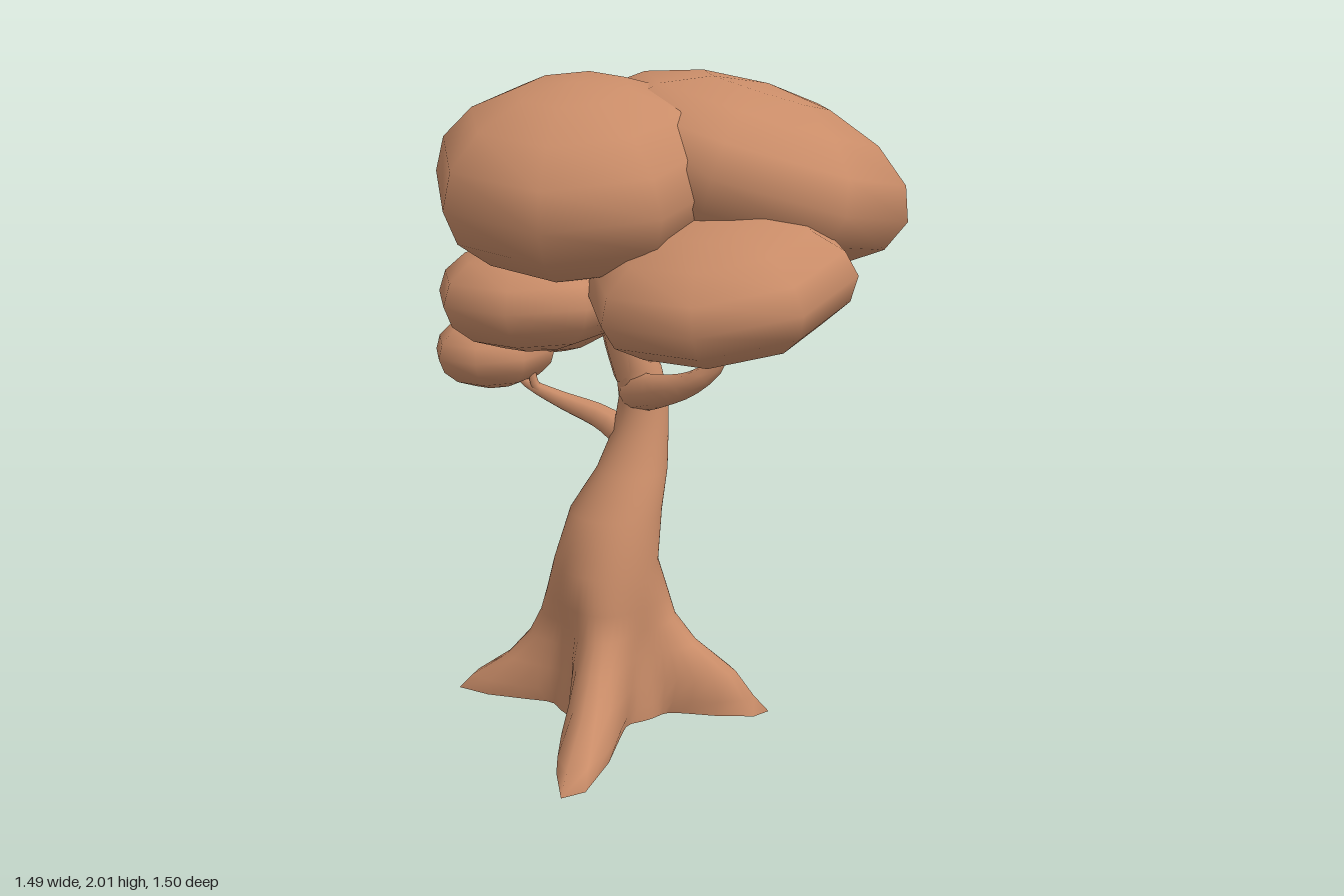
import * as THREE from 'three';

const clay = new THREE.MeshStandardMaterial({ color: 0xc98c68, side: THREE.DoubleSide });
clay.name = 'clay brown';

// Angles of the four roots around the trunk: right, front, left, back
const ROOT_ANGLES = [0.02, 1.545, 3.08, -2.1];

// Trunk levels: height, centre x, centre z, core radius, reach of each root, root sharpness
const LEVELS = [
  [0.00, -0.12, 0.08, 0.20, [0.51, 0.67, 0.53, 0.61], 46],
  [0.05, -0.12, 0.08, 0.20, [0.46, 0.60, 0.48, 0.48], 30],
  [0.13, -0.12, 0.08, 0.19, [0.40, 0.42, 0.36, 0.46], 19],
  [0.22, -0.12, 0.08, 0.18, [0.27, 0.32, 0.28, 0.42], 13],
  [0.30, -0.12, 0.08, 0.175, [0.20, 0.25, 0.24, 0.32], 9],
  [0.38, -0.125, 0.09, 0.175, [0.18, 0.22, 0.21, 0.23], 5],
  [0.50, -0.13, 0.125, 0.16, [0.16, 0.175, 0.17, 0.17], 4],
  [0.66, -0.11, 0.09, 0.145, null, 1],
  [0.78, -0.07, 0.035, 0.112, null, 1],
  [0.90, -0.05, -0.005, 0.087, null, 1],
  [1.00, -0.045, -0.02, 0.078, null, 1],
  [1.10, -0.06, -0.015, 0.072, null, 1],
  [1.19, -0.09, 0.01, 0.055, null, 1],
];

// Trunk skin: rings that flare out into roots near the ground, open underneath
function trunkGeometry(sides = 64) {
  const positions = [];
  const index = [];
  LEVELS.forEach(([y, cx, cz, core, reach, sharp], i) => {
    for (let j = 0; j < sides; j++) {
      const a = (j / sides) * Math.PI * 2;
      let r = core;
      if (reach) {
        ROOT_ANGLES.forEach((root, n) => {
          r += (reach[n] - core) * Math.pow(Math.max(0, Math.cos(a - root)), sharp);
        });
      }
      positions.push(cx + r * Math.cos(a), y, cz + r * Math.sin(a));
      if (i < LEVELS.length - 1) {
        const p = i * sides + j;
        const q = i * sides + ((j + 1) % sides);
        index.push(p, p + sides, q, q, p + sides, q + sides);
      }
    }
  });
  const geometry = new THREE.BufferGeometry();
  geometry.setAttribute('position', new THREE.Float32BufferAttribute(positions, 3));
  geometry.setIndex(index);
  geometry.computeVertexNormals();
  return geometry;
}

// Tube along a curve, tapering from one radius to another
function taperedTube(points, startRadius, endRadius) {
  const steps = 12;
  const sides = 8;
  const curve = new THREE.CatmullRomCurve3(points.map((p) => new THREE.Vector3(...p)));
  const geometry = new THREE.TubeGeometry(curve, steps, 1, sides);
  const position = geometry.attributes.position;
  const v = new THREE.Vector3();
  for (let i = 0; i <= steps; i++) {
    const centre = curve.getPointAt(i / steps);
    const radius = THREE.MathUtils.lerp(startRadius, endRadius, i / steps);
    for (let j = 0; j <= sides; j++) {
      const k = i * (sides + 1) + j;
      v.fromBufferAttribute(position, k).sub(centre).multiplyScalar(radius).add(centre);
      position.setXYZ(k, v.x, v.y, v.z);
    }
  }
  return geometry;
}

const BRANCHES = [
  ['upperLimb', [[-0.075, 1.08, -0.01], [-0.105, 1.2, 0.02], [-0.12, 1.32, 0.05], [-0.15, 1.5, 0.08]], 0.065, 0.045],
  ['backLimb', [[-0.06, 1.1, -0.02], [-0.03, 1.2, 0], [0.05, 1.27, -0.02], [0.1, 1.48, -0.1]], 0.06, 0.035],
  ['frontBranch', [[-0.06, 1.02, 0], [0.04, 1.06, 0.11], [0.15, 1.11, 0.17], [0.23, 1.18, 0.175], [0.25, 1.28, 0.17]], 0.066, 0.014],
  ['sideBranch', [[-0.06, 0.84, 0], [-0.17, 0.915, -0.02], [-0.32, 0.965, -0.04], [-0.43, 1.01, -0.05], [-0.5, 1.06, -0.06]], 0.055, 0.01],
  ['twig', [[-0.37, 0.98, -0.045], [-0.405, 1.01, -0.04], [-0.42, 1.12, -0.04]], 0.018, 0.008],
];

// Foliage: name, centre, radii, tilt about x, tilt about z
const FOLIAGE = [
  ['frontCrown', [-0.21, 1.71, 0.1], [0.452, 0.287, 0.465], 0.2, 0],
  ['backCrown', [0.225, 1.7, -0.22], [0.54, 0.27, 0.535], -0.085, -0.28],
  ['lowerFrontFoliage', [0.235, 1.425, 0.21], [0.405, 0.2, 0.415], 0.15, 0.11],
  ['lowerBackFoliage', [-0.43, 1.26, -0.24], [0.315, 0.178, 0.315], 0.1, 0.04],
  ['middleFoliage', [-0.37, 1.335, 0.05], [0.315, 0.172, 0.315], 0, 0.03],
  ['smallFoliage', [-0.55, 1.11, -0.08], [0.2, 0.12, 0.2], 0, 0.05],
];

export function createModel() {
  const tree = new THREE.Group();
  tree.name = 'tree';
  const add = (name, geometry) => {
    const mesh = new THREE.Mesh(geometry, clay);
    mesh.name = name;
    tree.add(mesh);
    return mesh;
  };

  add('trunkAndRoots', trunkGeometry());
  BRANCHES.forEach(([name, points, r0, r1]) => add(name, taperedTube(points, r0, r1)));

  // Eight-sided flattened puffs
  FOLIAGE.forEach(([name, centre, radii, tiltX, tiltZ]) => {
    const puff = add(name, new THREE.SphereGeometry(1, 8, 8));
    puff.scale.set(...radii);
    puff.rotation.set(tiltX, 0, tiltZ);
    puff.position.set(...centre);
  });
  return tree;
}
